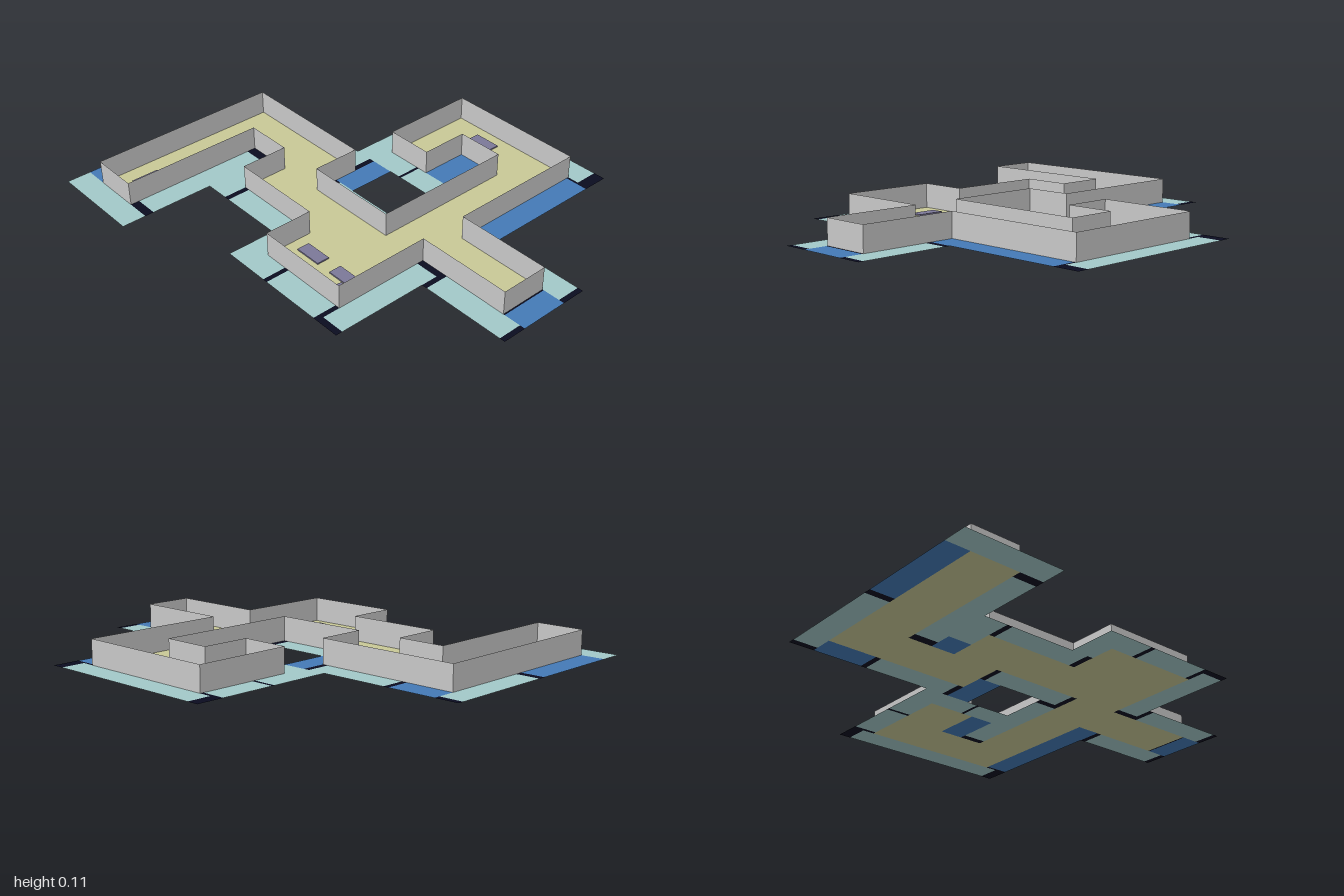
import * as THREE from 'three';
import { mergeGeometries } from 'three/addons/utils/BufferGeometryUtils.js';

const U = 1 / 9; // plan unit
const WALL_HEIGHT = U;

const paint = (name, color, side = THREE.DoubleSide) => {
  const m = new THREE.MeshStandardMaterial({ color, side });
  m.name = name;
  return m;
};

// Corridor outline in plan units (x, z)
const OUTLINE = [
  [-7, -8], [1, -8], [1, -2], [-1, -2], [-1, 2], [5, 2], [5, 0], [3, 0],
  [3, -2], [7, -2], [7, 4], [1, 4], [1, 8], [-1, 8], [-1, 4], [-5, 4],
  [-5, 0], [-3, 0], [-3, -4], [-1, -4], [-1, -6], [-7, -6],
];

// Apron panels around the corridors as [x0, z0, x1, z1]
const TEAL = [
  [-8, -9, -7, -5], [-2.7, -9, 1.73, -8], [1, -5.77, 2, -2.25],
  [-6.63, -6, -1.38, -5], [-4, -5, -2, -4], [-4, -3.77, -3, -0.25],
  [-6, -1, -4, 0], [-4, -1, -4, 0], [-6, 0, -5, 1], [-6, 1.2, -5, 3.8],
  [-5.72, 4, -1.28, 5], [-2, 5.23, -1, 8.77], [1, 5.23, 2, 8.77],
  [-1, -1.77, 0, 1.75], [0.28, 1, 4.72, 2], [2, -0.42, 3, 1],
  [2, -3, 4.47, -2], [2, -2, 3, -0.54], [4.6, -3, 6.85, -2],
  [7, -2.5, 8, 4.5],
].filter(([x0, , x1]) => x1 > x0);
const BLUE = [
  [-7, -9, -3, -8], [1, -8, 2, -6], [-2, -5, -1, -4], [0, -2, 2, -1],
  [3, 0, 5, 1], [1, 4, 6.9, 5], [-1, 8.06, 1, 9],
];
const DARK = [
  [-3, -9, -2.7, -8], [1.73, -9, 2, -8], [1, -6, 2, -5.77], [1, -2.25, 2, -2],
  [-7, -6, -6.63, -5], [-1.38, -6, -1, -5], [-4, -4, -3, -3.77],
  [-4, -0.25, -3, 0], [-6, 1, -5, 1.2], [-6, 3.8, -5, 4], [-6, 4, -5.72, 5],
  [-1.28, 4, -1, 5], [-2, 5, -1, 5.23], [1, 5, 2, 5.23], [-2, 8.77, -1, 9],
  [1, 8.77, 2, 9], [-1, 8, 1, 8.06], [-1, -2, 0, -1.77], [-1, 1.75, 0, 2],
  [0, 1, 0.28, 2], [4.72, 1, 5, 2], [2, -0.54, 3, -0.42], [4.47, -3, 4.6, -2],
  [6.85, -3, 8, -2.5], [6.85, -2.5, 7, -2], [7, 4.5, 8, 5], [6.9, 4, 7, 5],
];

// Flat upward-facing panels merged into one mesh
function panels(name, rects, material) {
  const parts = rects.map(([x0, z0, x1, z1]) =>
    new THREE.PlaneGeometry((x1 - x0) * U, (z1 - z0) * U)
      .rotateX(-Math.PI / 2)
      .translate(((x0 + x1) / 2) * U, 0, ((z0 + z1) / 2) * U));
  const mesh = new THREE.Mesh(mergeGeometries(parts), material);
  mesh.name = name;
  return mesh;
}

export function createModel() {
  const model = new THREE.Group();
  model.name = 'corridorPlan';

  // Floor following the outline
  const shape = new THREE.Shape(OUTLINE.map(([x, z]) => new THREE.Vector2(x * U, -z * U)));
  const floor = new THREE.Mesh(
    new THREE.ShapeGeometry(shape).rotateX(-Math.PI / 2), paint('floorYellow', 0xc8c896));
  floor.name = 'floor';
  model.add(floor);

  // Apron panels
  model.add(
    panels('apronTeal', TEAL, paint('apronTeal', 0xa2c8c8)),
    panels('apronBlue', BLUE, paint('apronBlue', 0x447ab6)),
    panels('apronDark', DARK, paint('apronDark', 0x0a0c20)),
  );

  // Thin upright walls on every edge of the outline
  const wallGrey = paint('wallGrey', 0xc8c8c8);
  const walls = new THREE.Group();
  walls.name = 'walls';
  OUTLINE.forEach(([x0, z0], i) => {
    const [x1, z1] = OUTLINE[(i + 1) % OUTLINE.length];
    const wall = new THREE.Mesh(
      new THREE.PlaneGeometry(Math.hypot(x1 - x0, z1 - z0) * U, WALL_HEIGHT), wallGrey);
    wall.position.set(((x0 + x1) / 2) * U, WALL_HEIGHT / 2, ((z0 + z1) / 2) * U);
    wall.rotation.y = Math.atan2(z0 - z1, x1 - x0) + Math.PI;
    wall.name = 'wall';
    walls.add(wall);
  });
  model.add(walls);

  // Low slabs lying on the floor: centre x, z, width, depth, turn
  const slabViolet = paint('slabViolet', 0x7c7898, THREE.FrontSide);
  const thick = 0.006;
  [
    [-5.52, -7.02, 1.15, 0.5, 0], [-3.75, 1.08, 0.53, 1.15, 0],
    [-3.75, 2.88, 0.53, 1.15, 0], [6.25, 0.02, 0.53, 1.15, 0],
    [-4.3, 3.2, 0.4, 0.4, -0.15],
  ].forEach(([x, z, w, d, turn]) => {
    const slab = new THREE.Mesh(new THREE.BoxGeometry(w * U, thick, d * U), slabViolet);
    slab.position.set(x * U, thick / 2 + 0.001, z * U);
    slab.rotation.y = turn;
    slab.name = 'floorSlab';
    model.add(slab);
  });

  return model;
}
